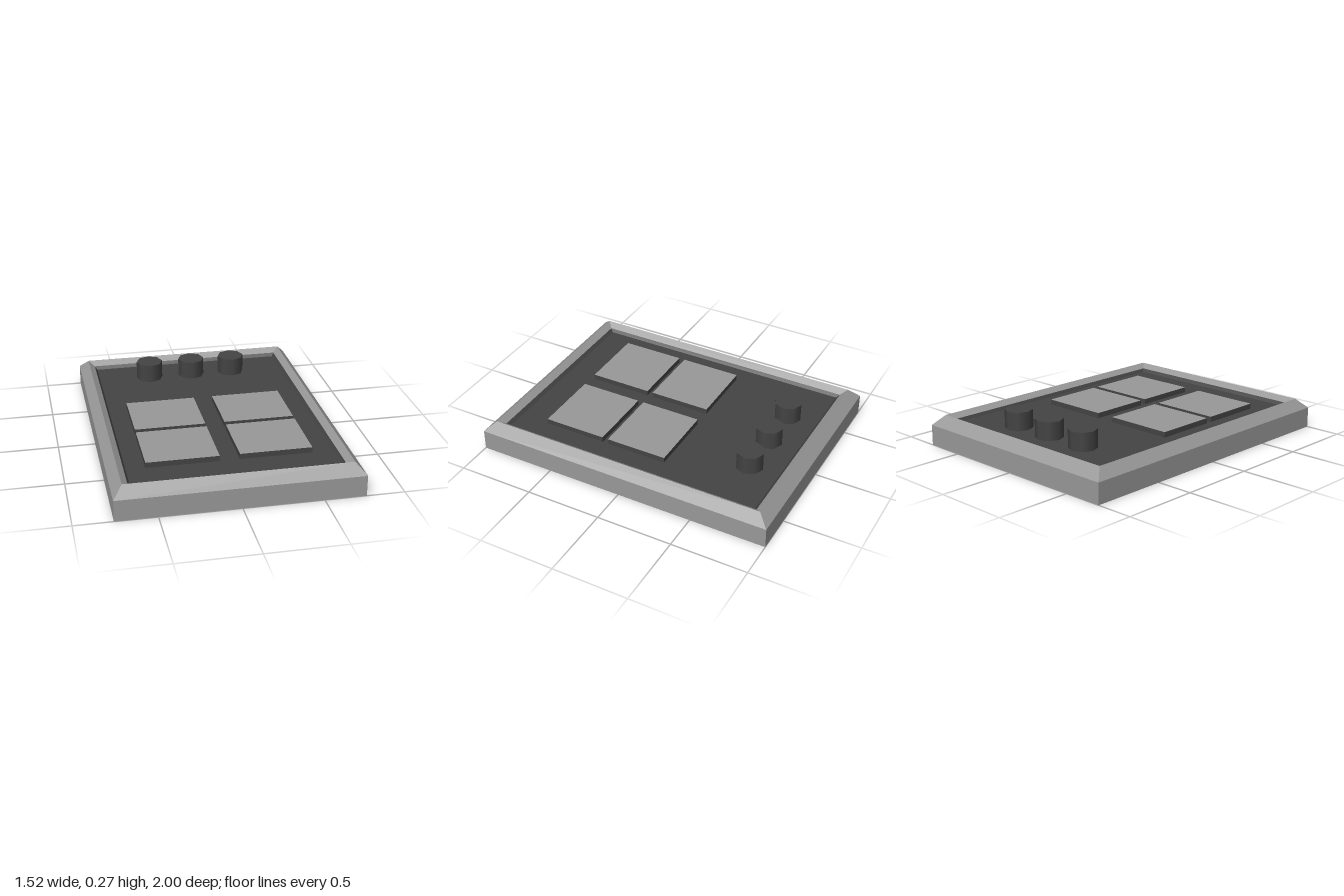
import * as THREE from 'three';

const grey = new THREE.MeshStandardMaterial({ color: 0x999999, side: THREE.DoubleSide });
grey.name = 'light grey';
const dark = new THREE.MeshStandardMaterial({ color: 0x444444, side: THREE.DoubleSide });
dark.name = 'charcoal';

// Flat-faced band through rectangular rings, each given as [half width, half depth, y]
function rectBand(rings) {
  const corners = [[1, 1], [1, -1], [-1, -1], [-1, 1]];
  const at = ([w, d, y], i) => [corners[i % 4][0] * w, y, corners[i % 4][1] * d];
  const pos = [];
  for (let r = 0; r < rings.length - 1; r++) {
    for (let i = 0; i < 4; i++) {
      const a = at(rings[r], i), b = at(rings[r], i + 1);
      const c = at(rings[r + 1], i + 1), d = at(rings[r + 1], i);
      pos.push(...a, ...b, ...c, ...a, ...c, ...d);
    }
  }
  const geo = new THREE.BufferGeometry();
  geo.setAttribute('position', new THREE.Float32BufferAttribute(pos, 3));
  geo.computeVertexNormals();
  return geo;
}

export function createModel() {
  const model = new THREE.Group();
  model.name = 'controlPanel';
  const add = (name, geo, mat, x = 0, y = 0, z = 0) => {
    const mesh = new THREE.Mesh(geo, mat);
    mesh.name = name;
    mesh.position.set(x, y, z);
    model.add(mesh);
    return mesh;
  };
  const panelY = 0.15;

  // Open-bottomed frame: wall, outer bevel, inner slope
  add('frame', rectBand([[0.76, 1, 0], [0.76, 1, 0.135], [0.7, 0.93, 0.2], [0.66, 0.89, 0.17]]), grey);

  // Recessed dark tray
  add('panelRim', rectBand([[0.66, 0.89, 0.17], [0.645, 0.87, panelY]]), dark);
  add('panel', new THREE.PlaneGeometry(1.29, 1.74).rotateX(-Math.PI / 2), dark, 0, panelY, 0);

  // Four pads: dark sides with a light top face
  const padHeight = 0.035;
  const tops = [dark, dark, grey, dark, dark, dark];
  for (const [x, w] of [[-0.297, 0.455], [0.283, 0.455]]) {
    for (const [z, d] of [[0.013, 0.405], [0.462, 0.415]]) {
      add('pad', new THREE.BoxGeometry(w, padHeight, d), tops, x, panelY + padHeight / 2, z);
    }
  }

  // Row of octagonal knobs
  const knob = new THREE.CylinderGeometry(0.09, 0.09, 0.12, 8);
  for (const x of [-0.296, 0, 0.285]) add('knob', knob, dark, x, panelY + 0.06, -0.67);

  return model;
}
